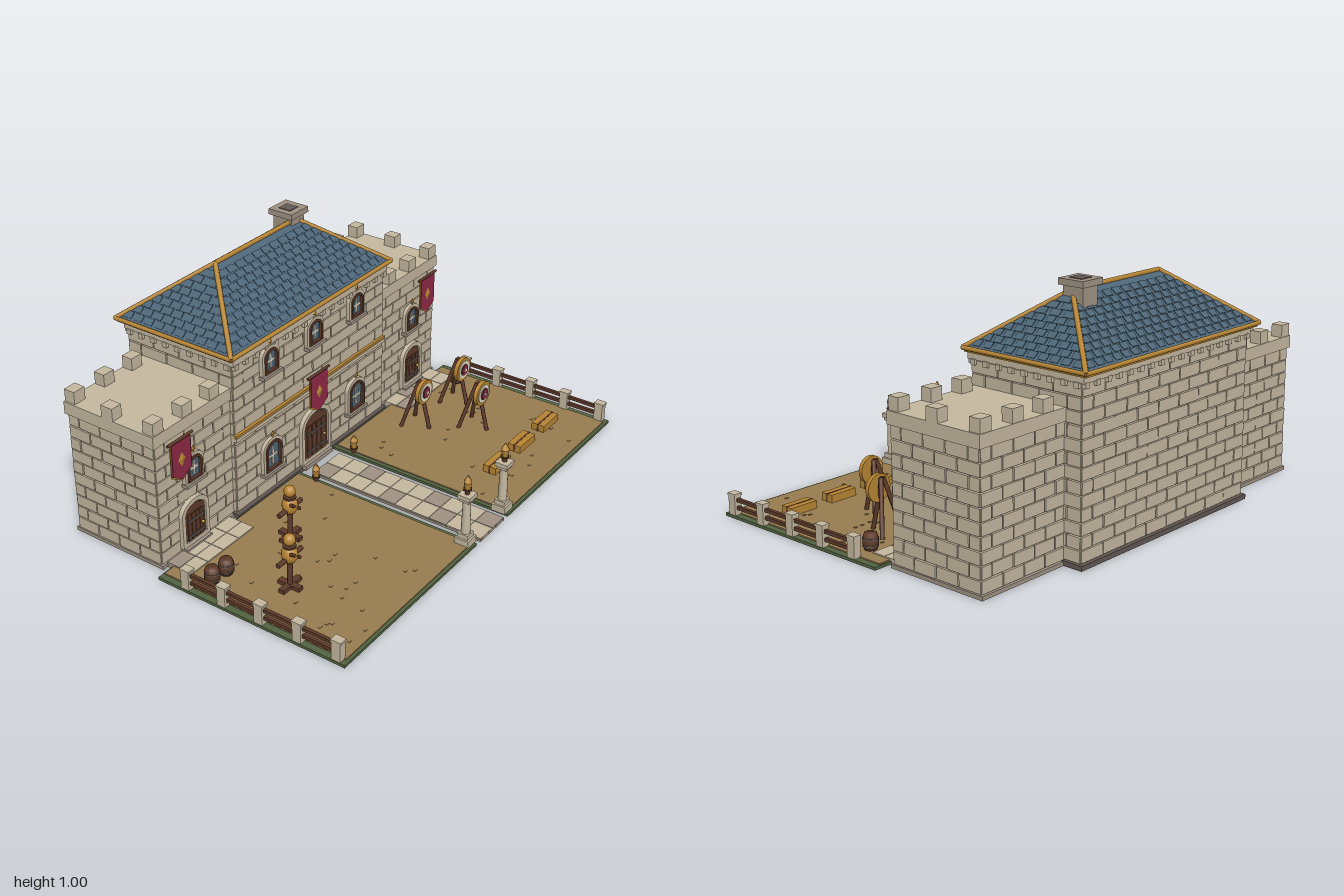
import * as THREE from 'three';
import { mergeGeometries } from 'three/addons/utils/BufferGeometryUtils.js';

const mat = (name, color, extra = {}) => {
  const m = new THREE.MeshStandardMaterial({ color, ...extra });
  m.name = name;
  return m;
};
const stone = mat('stone', 0xc6b9a1), darkStone = mat('darkStone', 0xa09384), charcoal = mat('charcoal', 0x625853);
const slate = mat('slateBlue', 0x4e6779), gold = mat('gold', 0xb88634), wood = mat('wood', 0x5e3a2a);
const crimson = mat('crimson', 0x8f2a46), dirt = mat('dirt', 0x987d50), grass = mat('grass', 0x536442);
const cream = mat('cream', 0xe2dac6);

let seed = 7;
const rnd = () => (seed = (seed * 16807) % 2147483647) / 2147483647;
const V = (x, y, z) => new THREE.Vector3(x, y, z);

// Geometry helpers: box by centre, cylinder by base, beam between two points
const box = (w, h, d, x = 0, y = 0, z = 0) => new THREE.BoxGeometry(w, h, d).translate(x, y, z);
const cyl = (r0, r1, h, x, y, z, n = 12) => new THREE.CylinderGeometry(r1, r0, h, n).translate(x, y + h / 2, z);
const ball = (r, sy, x, y, z) => new THREE.SphereGeometry(r, 12, 8).scale(1, sy, 1).translate(x, y, z);
const gem = (w, h, x, y, z) => new THREE.OctahedronGeometry(1).scale(w / 2, h / 2, 0.006).translate(x, y, z);
const beam = (a, b, r, n = 8) => {
  const d = b.clone().sub(a), g = new THREE.CylinderGeometry(r, r, d.length(), n);
  g.applyQuaternion(new THREE.Quaternion().setFromUnitVectors(V(0, 1, 0), d.normalize()));
  return g.translate((a.x + b.x) / 2, (a.y + b.y) / 2, (a.z + b.z) / 2);
};
function archPath(P, w, h) {
  const p = new P(), r = w / 2, rise = r * 0.75;
  p.moveTo(-r, 0).lineTo(r, 0).lineTo(r, h - rise);
  for (let i = 1; i <= 12; i++) p.lineTo(r * Math.cos(i * Math.PI / 12), h - rise + rise * Math.sin(i * Math.PI / 12));
  return p;
}
function arch(w, h, depth, x, y, z, rim = 0) {
  const s = archPath(THREE.Shape, w, h);
  if (rim) s.holes.push(new THREE.Path(archPath(THREE.Path, w - 2 * rim, h - 2 * rim).getPoints().map(p => p.setY(p.y + rim))));
  return new THREE.ExtrudeGeometry(s, { depth, bevelEnabled: false }).translate(x, y, z);
}

export function createModel() {
  const root = new THREE.Group();
  root.name = 'trainingHall';
  const add = (name, material, ...geos) => {
    const list = geos.flat().map(g => {
      const n = g.index ? g.toNonIndexed() : g;
      n.deleteAttribute('uv');
      return n;
    });
    const m = new THREE.Mesh(mergeGeometries(list), material);
    m.name = name;
    root.add(m);
  };

  // Mortar core wrapped by staggered courses of stone blocks
  function masonry(name, x0, x1, z0, z1, y0, y1) {
    const t = 0.01, gap = 0.005, rows = Math.round((y1 - y0) / 0.05), ch = (y1 - y0) / rows, out = [];
    add(name + 'Mortar', darkStone, box(x1 - x0 - 2 * t, y1 - y0, z1 - z0 - 2 * t, (x0 + x1) / 2, (y0 + y1) / 2, (z0 + z1) / 2));
    for (let r = 0; r < rows; r++) {
      const y = y0 + (r + 0.5) * ch;
      const run = (a, b, place) => {
        const n = Math.round((b - a) / 0.12), L = (b - a) / n, off = r % 2 ? L / 2 : 0;
        for (let i = 0; i <= n; i++) {
          const s = Math.max(a, a + i * L - off), e = Math.min(b, a + (i + 1) * L - off);
          if (e - s > 0.01) place((s + e) / 2, e - s - gap, t + rnd() * 0.003);
        }
      };
      run(x0, x1, (c, w, d) => out.push(box(w, ch - gap, d, c, y, z1 - t + d / 2), box(w, ch - gap, d, c, y, z0 + t - d / 2)));
      run(z0, z1, (c, w, d) => out.push(box(d, ch - gap, w, x1 - t + d / 2, y, c), box(d, ch - gap, w, x0 + t - d / 2, y, c)));
    }
    add(name + 'Blocks', stone, out);
  }

  // Arched window, door and pennant for a front wall at depth f
  function archedWindow(x, y, w, h, f) {
    add('windowSurround', stone, arch(w + 0.03, h + 0.03, 0.018, x, y - 0.015, f, 0.014));
    add('windowFrame', wood, arch(w + 0.004, h + 0.004, 0.024, x, y - 0.002, f, 0.01));
    add('windowGlass', slate, arch(w, h, 0.012, x, y, f));
    add('windowCross', cream, box(0.01, h * 0.62, 0.006, x, y + h * 0.47, f + 0.014), box(w * 0.62, 0.01, 0.006, x, y + h * 0.47, f + 0.014));
    add('windowSill', darkStone, box(w + 0.04, 0.014, 0.032, x, y - 0.012, f + 0.014));
    add('windowGem', gold, gem(0.026, 0.034, x, y + h + 0.03, f + 0.015));
  }
  function door(x, y, w, h, f) {
    add('doorSurround', stone, arch(w + 0.04, h + 0.025, 0.02, x, y, f, 0.018));
    add('doorLeaf', wood, arch(w, h, 0.014, x, y, f), [-0.3, -0.1, 0.1, 0.3].map(k => box(w * 0.17, h * 0.76, 0.004, x + k * w, y + h * 0.4, f + 0.016)));
    add('doorStraps', charcoal, [0.22, 0.62].map(k => box(w * 0.86, 0.01, 0.004, x, y + h * k, f + 0.02)));
    add('doorKnob', gold, ball(0.007, 1, x + w * 0.3, y + h * 0.42, f + 0.024));
    add('doorStep', darkStone, box(w + 0.03, 0.02, 0.035, x, y - 0.01, f + 0.016));
  }
  function banner(x, top, w, h, f) {
    const pennant = (k, z, d) => {
      const a = w / 2 - k, b = -h + k;
      const s = new THREE.Shape([[-a, -k], [-a, b + 0.035], [0, b], [a, b + 0.035], [a, -k]].map(p => new THREE.Vector2(...p)));
      return new THREE.ExtrudeGeometry(s, { depth: d, bevelEnabled: false }).translate(x, top, z);
    };
    add('bannerBorder', gold, pennant(0, f + 0.02, 0.004));
    add('bannerCloth', crimson, pennant(0.005, f + 0.018, 0.009));
    add('bannerGem', gold, gem(0.04, 0.062, x, top - h * 0.48, f + 0.027));
    add('bannerPole', wood, beam(V(x - w / 2 - 0.012, top, f + 0.022), V(x + w / 2 + 0.012, top, f + 0.022), 0.006));
  }

  // Main hall
  const F = -0.157;
  add('hallPlinth', charcoal, box(1.04, 0.02, 0.56, 0, 0.01, -0.42));
  masonry('hall', -0.508, 0.508, -0.685, F, 0.02, 0.69);
  add('cornice', stone, box(1.03, 0.035, 0.555, 0, 0.708, -0.421));
  const dentils = [];
  for (let i = 0; i < 17; i++) for (const z of [-0.692, -0.149]) dentils.push(box(0.022, 0.022, 0.018, -0.496 + i * 0.062, 0.683, z));
  for (let i = 0; i < 9; i++) for (const x of [-0.513, 0.513]) dentils.push(box(0.018, 0.022, 0.022, x, 0.683, -0.67 + i * 0.062));
  add('dentils', stone, dentils);
  add('goldCourse', gold, box(1.02, 0.01, 0.016, 0, 0.376, F + 0.005));
  add('stoneCourse', stone, box(1.02, 0.016, 0.014, 0, 0.36, F + 0.005));
  for (const x of [-0.29, 0, 0.29]) archedWindow(x, 0.575, 0.078, 0.1, F);
  for (const x of [-0.29, 0.29]) archedWindow(x, 0.125, 0.095, 0.13, F);
  door(0, 0.03, 0.16, 0.215, F);
  banner(0, 0.438, 0.122, 0.18, F + 0.008);

  // Hipped roof with tile courses and gilded edges
  const A = V(-0.535, 0.735, -0.135), B = V(0.535, 0.735, -0.135), C = V(0.535, 0.735, -0.725), D = V(-0.535, 0.735, -0.725);
  const R0 = V(-0.26, 0.95, -0.43), R1 = V(0.26, 0.95, -0.43);
  const roof = new THREE.BufferGeometry().setFromPoints(
    [A, B, R1, A, R1, R0, B, C, R1, C, D, R0, C, R0, R1, D, A, R0, A, D, C, A, C, B]);
  roof.computeVertexNormals();
  add('roof', slate, roof);
  const tiles = [];
  for (const [a, b, p, q] of [[A, B, R0, R1], [B, C, R1, R1], [C, D, R1, R0], [D, A, R0, R0]]) {
    const ex = b.clone().sub(a).normalize(), up = p.clone().add(q).sub(a).sub(b);
    const ey = up.addScaledVector(ex, -up.dot(ex)).normalize(), ez = ex.clone().cross(ey);
    for (let r = 1; r < 10; r++) {
      const s = a.clone().lerp(p, r / 10.5), e = b.clone().lerp(q, r / 10.5), len = s.distanceTo(e);
      const n = Math.max(1, Math.floor(len / 0.05));
      for (let i = 0; i < n; i++) {
        const c = s.clone().lerp(e, (i + 0.5) / n).addScaledVector(ez, 0.0005);
        const g = new THREE.BoxGeometry(len / n * 0.72, 0.03, 0.006).rotateX(0.07);
        tiles.push(g.applyMatrix4(new THREE.Matrix4().makeBasis(ex, ey, ez).setPosition(c)));
      }
    }
  }
  add('roofTiles', slate, tiles);
  add('roofTrim', gold, [[A, R0], [D, R0], [B, R1], [C, R1], [R0, R1]].map(([a, b]) => beam(a, b, 0.01)),
    [A, B, C, D].map((p, i, l) => beam(p, l[(i + 1) % 4], 0.009)), box(1.06, 0.012, 0.58, 0, 0.725, -0.43));

  // Chimney
  add('chimney', darkStone, box(0.084, 0.14, 0.094, 0.25, 0.91, -0.46), box(0.115, 0.025, 0.118, 0.25, 0.984, -0.46));
  add('chimneyFlue', charcoal, box(0.058, 0.004, 0.06, 0.25, 0.997, -0.46));

  // Side towers, mirrored
  for (const s of [-1, 1]) {
    const xa = s < 0 ? -0.94 : 0.5, xb = s < 0 ? -0.5 : 0.94, W = -0.175;
    add('towerPlinth', darkStone, box(0.45, 0.016, 0.45, s * 0.72, 0.008, -0.39));
    masonry('tower', xa, xb, -0.605, W, 0.016, 0.54);
    add('towerParapet', stone, box(0.45, 0.052, 0.446, s * 0.725, 0.566, -0.39));
    const merlons = [-0.195, -0.585].flatMap(z => [0.915, 0.755, 0.6].map(x => box(0.056, 0.055, 0.05, s * x, 0.617, z)));
    add('merlons', stone, merlons, box(0.05, 0.055, 0.056, s * 0.925, 0.617, -0.39));
    archedWindow(s * 0.745, 0.315, 0.078, 0.1, W);
    door(s * 0.755, 0.03, 0.115, 0.175, W);
    banner(s * 0.835, 0.54, 0.115, 0.18, W + 0.012);

    // Paving before the tower door
    for (let i = 0; i < 4; i++) for (let j = 0; j < 2; j++)
      add('paver', rnd() < 0.35 ? darkStone : stone, box(0.09, 0.022, 0.06, s * (0.595 + i * 0.093), 0.011, -0.135 + j * 0.062));

    // Yard with grass edging
    add('lawn', grass, box(0.88, 0.012, 0.86, s * 0.56, 0.006, 0.29));
    add('yard', dirt, box(0.835, 0.008, 0.84, s * 0.555, 0.013, 0.287));
    const clods = [];
    for (let i = 0; i < 26; i++) clods.push(box(0.014, 0.003, 0.01, s * (0.18 + rnd() * 0.74), 0.018, -0.02 + rnd() * 0.7));
    add('clods', dirt, clods);

    // Fence
    const posts = [0.68, 0.508, 0.335, 0.163, -0.01];
    add('fencePosts', stone, posts.map(z => box(0.032, 0.085, 0.038, s * 0.982, 0.052, z)), posts.map(z => box(0.036, 0.01, 0.044, s * 0.982, 0.095, z)));
    add('fenceRails', wood, [0.042, 0.074].map(y => box(0.014, 0.014, 0.69, s * 0.982, y, 0.335)));

    // Gate column with lantern, and a low lamp by the hall
    const x = s * 0.14, z = 0.68;
    add('gateColumn', stone, box(0.062, 0.03, 0.062, x, 0.027, z), box(0.046, 0.02, 0.046, x, 0.052, z),
      cyl(0.019, 0.016, 0.15, x, 0.06, z), box(0.044, 0.012, 0.044, x, 0.215, z), box(0.056, 0.018, 0.056, x, 0.231, z));
    for (const [lx, y, lz] of [[x, 0.24, z], [s * 0.135, 0.015, -0.043]]) {
      add('lanternFoot', wood, cyl(0.01, 0.01, 0.02, lx, y, lz), cyl(0.019, 0.019, 0.006, lx, y + 0.018, lz, 6));
      add('lantern', gold, cyl(0.013, 0.017, 0.034, lx, y + 0.02, lz, 6), cyl(0.018, 0.002, 0.03, lx, y + 0.054, lz, 6));
    }
  }

  // Path of mixed slabs
  add('pathBed', darkStone, box(0.18, 0.01, 0.81, 0, 0.005, 0.315));
  for (let i = 0; i < 10; i++) for (let j = 0; j < 2; j++)
    add('pathSlab', (i * 2 + j * 3) % 7 < 2 ? darkStone : stone, box(0.087, 0.006, 0.079, j * 0.09 - 0.045, 0.012, -0.049 + i * 0.081));

  // Training dummies
  for (const [x, z] of [[-0.51, 0.11], [-0.76, 0.3]]) {
    add('dummyFrame', wood, box(0.11, 0.016, 0.026, x, 0.025, z), box(0.026, 0.016, 0.1, x, 0.025, z),
      cyl(0.011, 0.011, 0.2, x, 0.02, z), beam(V(x - 0.072, 0.152, z), V(x + 0.072, 0.152, z), 0.01));
    add('dummyBody', gold, ball(0.033, 1.2, x, 0.165, z), ball(0.024, 1.05, x, 0.23, z));
    add('dummyStrap', wood, beam(V(x - 0.028, 0.19, z + 0.026), V(x + 0.028, 0.145, z + 0.026), 0.007), cyl(0.026, 0.026, 0.007, x, 0.2, z));
  }

  // Archery targets on tripods
  for (const [x, z] of [[0.48, 0.07], [0.745, 0.1], [0.615, 0.28]]) {
    add('targetLegs', wood, [[-0.055, -0.065], [0.055, -0.065], [0, 0.045]].map(([dx, dz]) =>
      beam(V(x + dx, 0.016, z + dz), V(x + dx * 0.1, 0.235, z - 0.012), 0.009)));
    [[0.056, gold], [0.042, cream], [0.027, wood], [0.023, crimson], [0.008, cream]].forEach(([r, m], i) =>
      add('targetRing', m, new THREE.CylinderGeometry(r, r, 0.018, 20).rotateX(Math.PI / 2).translate(x, 0.19, z + 0.012 + i * 0.003)));
  }

  // Straw bales and barrels
  for (const x of [0.39, 0.595, 0.8]) {
    add('bale', gold, box(0.128, 0.032, 0.06, x, 0.033, 0.51));
    add('baleCord', wood, box(0.13, 0.034, 0.008, x, 0.033, 0.51));
  }
  for (const [x, z] of [[-0.905, 0.045], [-0.835, 0.055], [0.895, -0.005]]) {
    const profile = [[0, 0], [0.024, 0], [0.03, 0.02], [0.031, 0.033], [0.03, 0.046], [0.024, 0.066], [0, 0.066]];
    add('barrel', wood, new THREE.LatheGeometry(profile.map(p => new THREE.Vector2(...p)), 12).translate(x, 0.016, z));
    add('barrelHoops', charcoal, [0.03, 0.058].map(y => cyl(0.0312, 0.0312, 0.006, x, y, z)));
  }
  return root;
}
